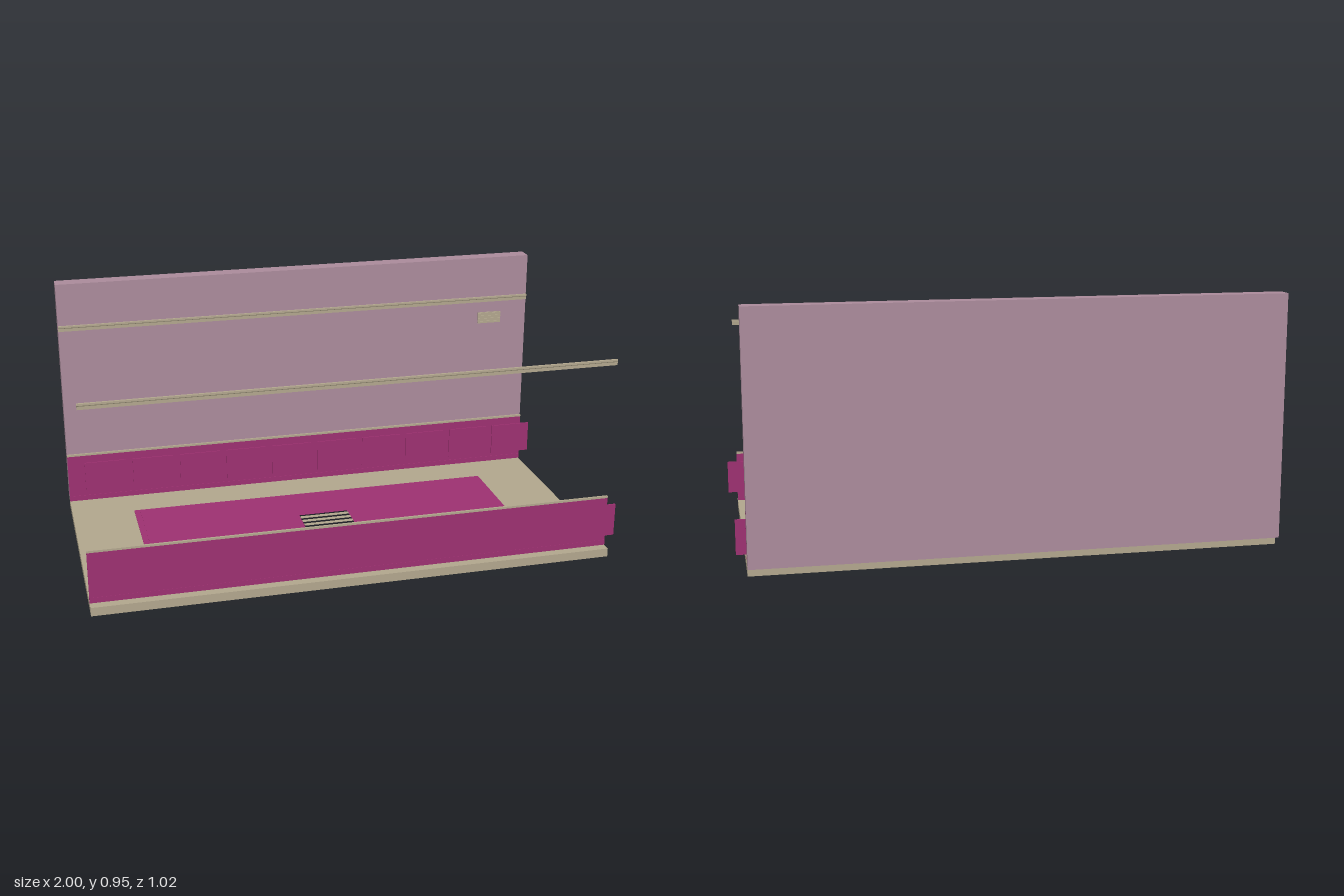
import * as THREE from 'three';

const mat = (color) => new THREE.MeshStandardMaterial({ color });
const X0 = -1, X1 = 0.963; // room length

export function createModel() {
  const room = new THREE.Group();
  room.name = 'room';
  const beige = mat(0xb0a58c), mauve = mat(0xa98a9a), magenta = mat(0x9c3070), dark = mat(0x1a1a22);

  // box given by its lower and upper limits on each axis
  const box = (parent, name, material, x0, x1, y0, y1, z0, z1) => {
    const m = new THREE.Mesh(new THREE.BoxGeometry(x1 - x0, y1 - y0, z1 - z0), material);
    m.position.set((x0 + x1) / 2, (y0 + y1) / 2, (z0 + z1) / 2);
    m.name = name;
    parent.add(m);
    return m;
  };

  box(room, 'floor', beige, X0, X1, 0, 0.033, -0.474, 0.508);
  box(room, 'backWall', mauve, X0, X1, 0.034, 0.952, -0.508, -0.445);

  // wainscot: board, skirting, cap and raised panels; z is the outer face, dir points inward
  const wainscot = (name, z, dir) => {
    const g = new THREE.Group();
    g.name = name;
    const slab = (part, material, x0, x1, y0, y1, a, b) =>
      box(g, part, material, x0, x1, y0, y1, Math.min(z + dir * a, z + dir * b), Math.max(z + dir * a, z + dir * b));
    slab('board', magenta, X0, X1, 0.034, 0.23, 0, 0.005);
    slab('skirting', magenta, X0, X1, 0.034, 0.055, -0.001, 0.007);
    slab('cap', beige, X0, X1, 0.23, 0.238, -0.001, 0.007);
    for (let i = 0; i < 10; i++) {
      const x = -0.932 + i * 0.196;
      slab('raisedPanel', magenta, x, x + 0.168, 0.07, 0.198, 0.004, 0.01);
    }
    room.add(g);
  };
  wainscot('frontWainscot', 0.474, -1);
  wainscot('backWainscot', -0.443, 1);

  // picture rails with a slightly wider top
  const rail = (name, z) => {
    const shape = new THREE.Shape([[-0.003, 0.762], [0.003, 0.762], [0.003, 0.774], [0.005, 0.777],
      [0.005, 0.784], [-0.004, 0.784], [-0.004, 0.774]].map(([a, b]) => new THREE.Vector2(a, b)));
    const geo = new THREE.ExtrudeGeometry(shape, { depth: X1 - X0, bevelEnabled: false });
    const m = new THREE.Mesh(geo.rotateY(-Math.PI / 2), beige);
    m.position.set(X1, 0, z);
    m.name = name;
    room.add(m);
  };
  rail('frontPictureRail', 0.471);
  rail('backPictureRail', -0.441);

  // wall vent with louvres
  const vent = new THREE.Group();
  vent.name = 'wallVent';
  room.add(vent);
  box(vent, 'ventPlate', beige, 0.75, 0.85, 0.668, 0.716, -0.446, -0.442);
  for (let i = 0; i < 4; i++) {
    const y = 0.67 + i * 0.012;
    box(vent, 'louvre', beige, 0.75, 0.85, y, y + 0.007, -0.443, -0.439);
  }

  // rug with a low border and a raised field
  const rug = new THREE.Group();
  rug.name = 'rug';
  room.add(rug);
  box(rug, 'rugBorder', magenta, -0.755, 0.718, 0.033, 0.0355, -0.28, 0.311);
  box(rug, 'rugField', magenta, -0.732, 0.698, 0.0345, 0.0368, -0.257, 0.288);

  // floor grille with light slats over a dark well
  const grille = new THREE.Group();
  grille.name = 'floorGrille';
  room.add(grille);
  box(grille, 'grilleWell', dark, -0.117, 0.081, 0.033, 0.0375, -0.066, 0.088);
  for (let i = 0; i < 4; i++) {
    const z = -0.043 + i * 0.035;
    box(grille, 'grilleSlat', beige, -0.117, 0.081, 0.034, 0.0395, z - 0.0085, z + 0.0085);
  }
  return room;
}
